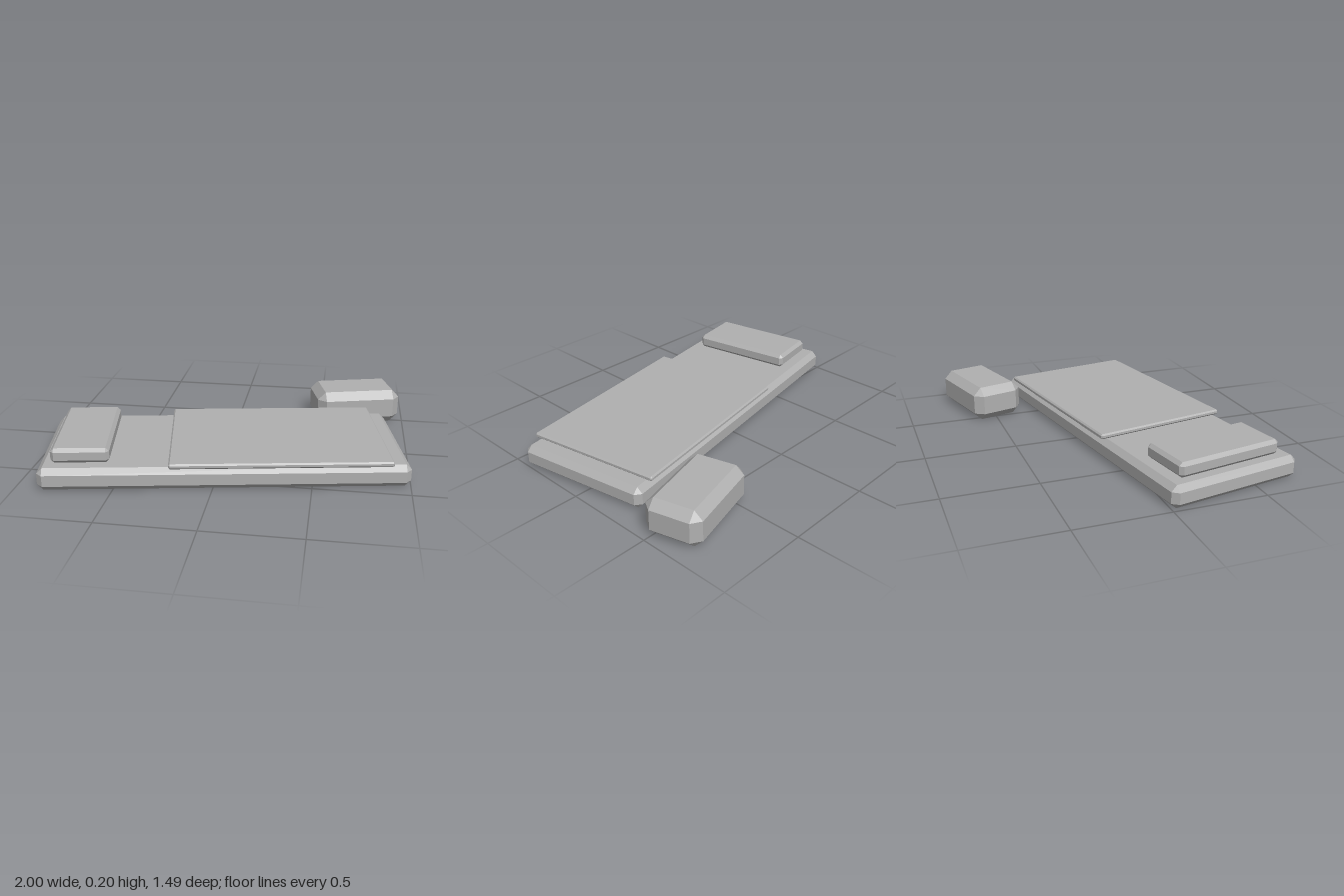
import * as THREE from 'three';
import { ConvexGeometry } from 'three/addons/geometries/ConvexGeometry.js';

// Box with every edge and corner cut by a single flat bevel
function bevelBox(width, height, depth, bevel) {
  const points = [];
  for (const sx of [-1, 1]) for (const sy of [-1, 1]) for (const sz of [-1, 1]) {
    for (let full = 0; full < 3; full++) {
      const inset = (axis) => (axis === full ? 0 : bevel);
      points.push(new THREE.Vector3(
        sx * (width / 2 - inset(0)),
        sy * (height / 2 - inset(1)),
        sz * (depth / 2 - inset(2))
      ));
    }
  }
  return new ConvexGeometry(points);
}

export function createModel() {
  const model = new THREE.Group();
  model.name = 'bedroll';
  const grey = new THREE.MeshStandardMaterial({ color: 0xb0b0b0, flatShading: true });
  grey.name = 'plain grey';

  // Adds a bevelled slab resting at height y
  function slab(parent, name, [w, h, d], bevel, x, y, z) {
    const mesh = new THREE.Mesh(bevelBox(w, h, d, bevel), grey);
    mesh.name = name;
    mesh.position.set(x, y + h / 2, z);
    parent.add(mesh);
    return mesh;
  }

  // Bedding, turned slightly on the ground
  const bedding = new THREE.Group();
  bedding.name = 'bedding';
  bedding.position.z = 0.21;
  bedding.rotation.y = THREE.MathUtils.degToRad(10);
  model.add(bedding);
  slab(bedding, 'mattress', [1.906, 0.12, 0.758], 0.03, 0, 0, 0);
  slab(bedding, 'blanket', [1.142, 0.028, 0.77], 0.008, 0.285, 0.12, 0);
  slab(bedding, 'pillow', [0.3, 0.08, 0.604], 0.018, -0.738, 0.12, 0);

  // Pack lying behind the foot end
  const pack = slab(model, 'pack', [0.5, 0.2, 0.302], 0.045, 0.70, 0, -0.543);
  pack.rotation.y = THREE.MathUtils.degToRad(15);

  return model;
}
